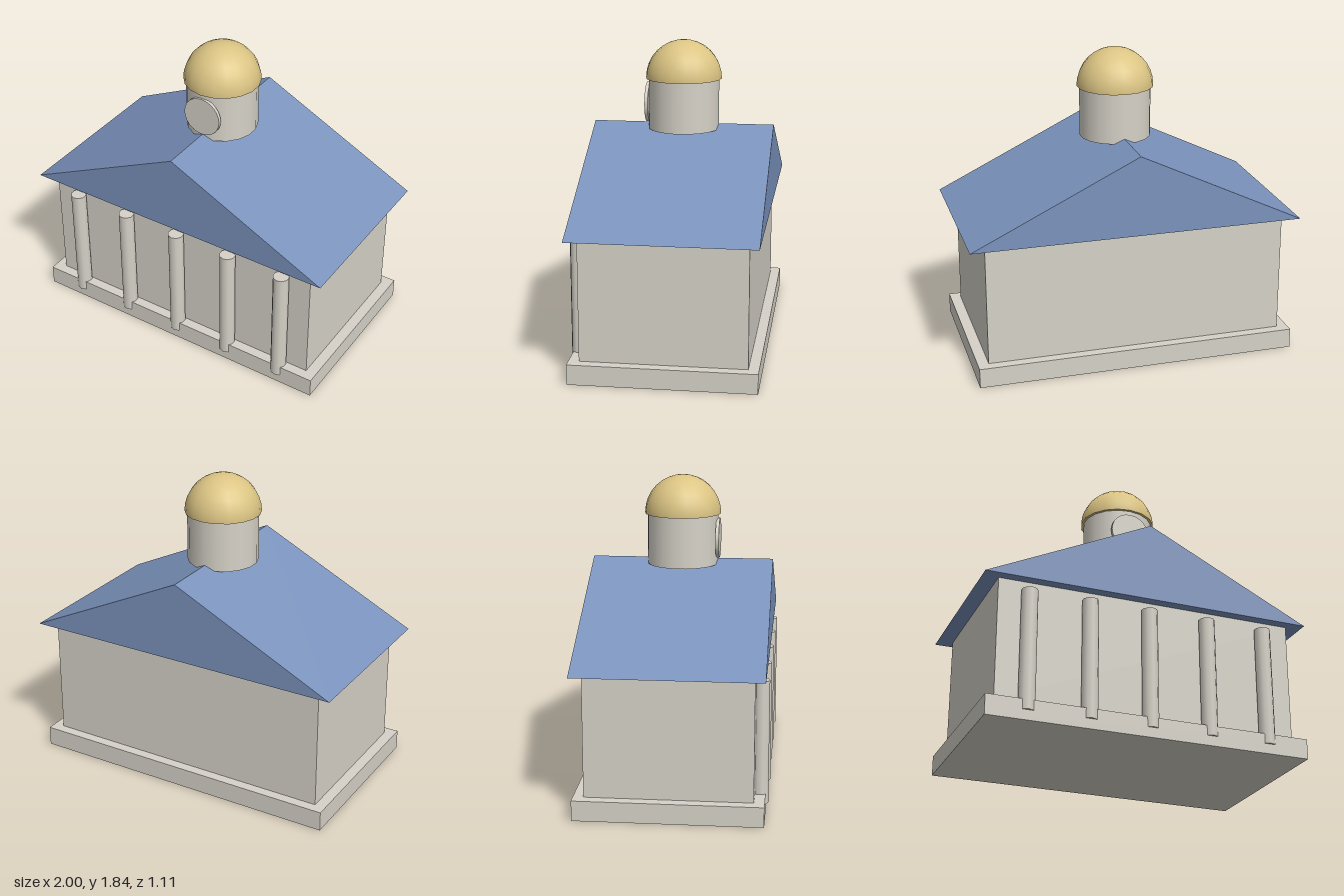
import * as THREE from 'three';

const Z = -0.006; // building centre in depth; the columns stand proud of it

export function createModel() {
  const stone = new THREE.MeshStandardMaterial({ color: 0xd6d2c8 });
  stone.name = 'stone';
  const slate = new THREE.MeshStandardMaterial({ color: 0x7b93bd });
  slate.name = 'blueRoof';
  const gold = new THREE.MeshStandardMaterial({ color: 0xdcc584 });
  gold.name = 'gold';

  const model = new THREE.Group();
  model.name = 'townHall';

  const add = (name, geometry, material, x, y, z) => {
    const mesh = new THREE.Mesh(geometry, material);
    mesh.name = name;
    mesh.position.set(x, y, z);
    model.add(mesh);
    return mesh;
  };

  // Plinth and hall
  add('plinth', new THREE.BoxGeometry(1.94, 0.12, 1.09), stone, 0, 0.06, Z);
  add('walls', new THREE.BoxGeometry(1.81, 0.73, 0.968), stone, 0, 0.485, Z);

  // Gabled roof prism, ridge running front to back
  const gable = new THREE.Shape([
    new THREE.Vector2(-1, 0),
    new THREE.Vector2(1, 0),
    new THREE.Vector2(0, 0.485),
  ]);
  const roof = new THREE.ExtrudeGeometry(gable, { depth: 1.09, bevelEnabled: false });
  add('roof', roof, slate, 0, 0.85, Z - 0.545);

  // Row of front columns
  const column = new THREE.CylinderGeometry(0.048, 0.048, 0.73, 10);
  for (let i = -2; i <= 2; i++) {
    add('column', column, stone, i * 0.364, 0.425, 0.506);
  }

  // Cupola drum with a round front disc
  add('drum', new THREE.CylinderGeometry(0.214, 0.214, 0.305, 18), stone, 0, 1.4575, Z);
  const disc = new THREE.CylinderGeometry(0.12, 0.12, 0.02, 24).rotateX(Math.PI / 2);
  add('clockDisc', disc, stone, 0, 1.46, 0.208);

  // Dome with a closed underside
  const dome = new THREE.SphereGeometry(0.23, 18, 8, 0, Math.PI * 2, 0, Math.PI / 2);
  add('dome', dome.rotateY(Math.PI / 2), gold, 0, 1.61, Z);
  const underside = new THREE.CircleGeometry(0.23, 18).rotateX(Math.PI / 2);
  add('domeUnderside', underside.rotateY(Math.PI / 2), gold, 0, 1.61, Z);

  return model;
}
